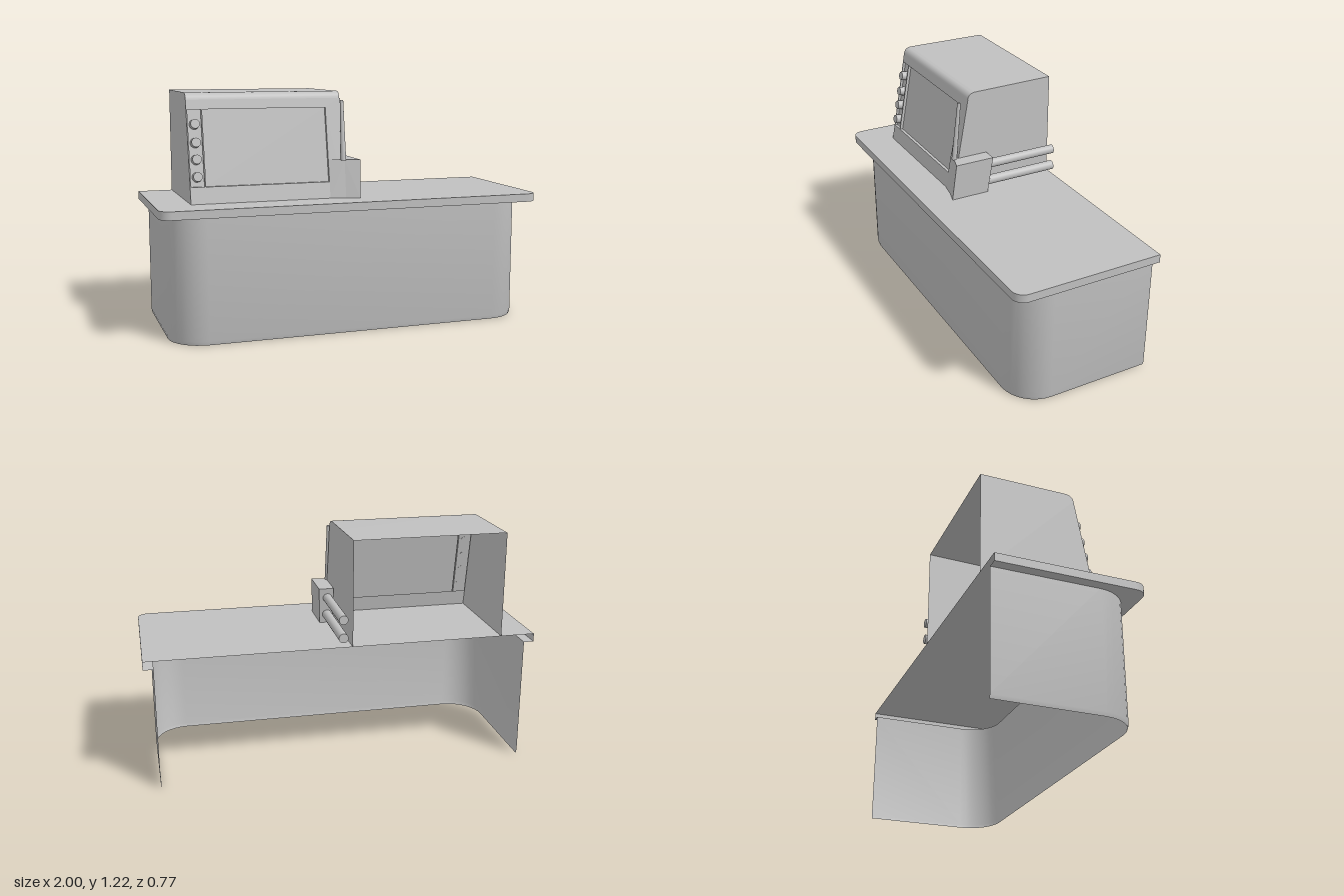
import * as THREE from 'three';
import { toCreasedNormals } from 'three/addons/utils/BufferGeometryUtils.js';
import { ConvexGeometry } from 'three/addons/geometries/ConvexGeometry.js';

const BACK = -0.385;
const V = (x, y, z) => new THREE.Vector3(x, y, z);

// Sheet of quads joining rows of points
function sheet(rows) {
  const n = rows[0].length, pos = [], idx = [];
  rows.forEach(r => r.forEach(p => pos.push(p.x, p.y, p.z)));
  for (let j = 0; j < rows.length - 1; j++) {
    for (let i = 0; i < n - 1; i++) {
      const a = j * n + i, b = a + n;
      idx.push(a, a + 1, b + 1, a, b + 1, b);
    }
  }
  const g = new THREE.BufferGeometry();
  g.setAttribute('position', new THREE.Float32BufferAttribute(pos, 3));
  g.setIndex(idx);
  return toCreasedNormals(g, 0.7);
}

// Outline open at the back with two rounded front corners, as (x, z) pairs
function counterOutline(w, front, r) {
  const half = [];
  for (let i = 0; i <= 8; i++) {
    const a = (i / 8) * Math.PI / 2;
    half.push([w - r + r * Math.cos(a), front - r + r * Math.sin(a)]);
  }
  const right = [[w, BACK], ...half];
  return [...right.map(([x, z]) => [-x, z]), ...right.reverse()];
}
const atHeight = (outline, y) => outline.map(([x, z]) => V(x, y, z));

// Depth of the console's sloping front at height y
const slope = y => 0.2 - 0.185 * (y - 0.675);

export function createModel() {
  const model = new THREE.Group();
  const grey = new THREE.MeshStandardMaterial({ color: 0xc0c0c0, side: THREE.DoubleSide });
  grey.name = 'plain grey';
  const add = (name, geometry, parent = model) => {
    const mesh = new THREE.Mesh(geometry, grey);
    mesh.name = name;
    parent.add(mesh);
    return mesh;
  };

  // Counter: top sheet, edge, underside lip and skirt, open at the back
  const outer = counterOutline(1, 0.385, 0.06);
  const body = counterOutline(0.948, 0.34, 0.18);
  const foot = counterOutline(0.944, 0.335, 0.18);
  const topShape = new THREE.Shape(outer.map(([x, z]) => new THREE.Vector2(x, -z)));
  add('counterTop', new THREE.ShapeGeometry(topShape).rotateX(-Math.PI / 2).translate(0, 0.677, 0));
  add('counterEdge', sheet([atHeight(outer, 0.635), atHeight(outer, 0.677)]));
  add('counterLip', sheet([atHeight(body, 0.635), atHeight(outer, 0.635)]));
  add('counterSkirt', sheet([atHeight(foot, 0), atHeight(body, 0.02), atHeight(body, 0.635)]));

  // Console shell, open at the back
  const console_ = new THREE.Group();
  console_.name = 'console';
  model.add(console_);
  const left = -0.82, base = 0.677, lip = 1.185;
  const rightAt = z => -0.018 - 0.018 * (0.2 - z) / 0.585;
  const roof = new THREE.QuadraticBezierCurve(
    new THREE.Vector2(slope(lip), lip),
    new THREE.Vector2(slope(1.22), 1.22),
    new THREE.Vector2(0.062, 1.22)
  ).getPoints(8);
  roof.push(new THREE.Vector2(BACK, 1.22));
  add('consoleRoof', sheet([
    roof.map(p => V(left, p.y, p.x)),
    roof.map(p => V(rightAt(p.x), p.y, p.x))
  ]), console_);
  const profile = new THREE.Shape([
    new THREE.Vector2(BACK, base), new THREE.Vector2(slope(base), base), ...roof
  ]);
  for (const [name, edge] of [['consoleRightSide', () => left], ['consoleLeftSide', rightAt]]) {
    const g = new THREE.ShapeGeometry(profile);
    const p = g.attributes.position;
    for (let i = 0; i < p.count; i++) {
      const z = p.getX(i);
      p.setXYZ(i, edge(z), p.getY(i), z);
    }
    g.computeVertexNormals();
    add(name, g, console_);
  }

  // Sloping front with openings for the screen and the knob strip
  const rect = (x0, x1, y0, y1) => [[x0, y0], [x1, y0], [x1, y1], [x0, y1]].map(p => new THREE.Vector2(...p));
  const front = new THREE.Shape(rect(left, -0.018, base, lip));
  const recesses = [['screen', -0.74, -0.1, 0.016], ['knobPanel', -0.814, -0.746, 0.014]];
  for (const [name, x0, x1, depth] of recesses) {
    const corners = rect(x0, x1, 0.76, 1.138);
    front.holes.push(new THREE.Path(corners));
    const rim = [...corners, corners[0]].map(p => V(p.x, p.y, slope(p.y)));
    const floor = rim.map(p => V(p.x, p.y, p.z - depth));
    add(name + 'Recess', sheet([floor, rim]), console_);
    add(name, sheet([[floor[0], floor[1]], [floor[3], floor[2]]]), console_);
  }
  const frontGeometry = new THREE.ShapeGeometry(front);
  const fp = frontGeometry.attributes.position;
  for (let i = 0; i < fp.count; i++) fp.setZ(i, slope(fp.getY(i)));
  frontGeometry.computeVertexNormals();
  add('consoleFront', frontGeometry, console_);

  // Knobs
  for (const y of [1.067, 0.977, 0.895, 0.81]) {
    const knob = add('knob', new THREE.CylinderGeometry(0.023, 0.025, 0.035, 20), console_);
    knob.position.set(-0.781, y, slope(y) + 0.003);
    knob.rotation.x = Math.PI / 2 - Math.atan(0.185);
  }

  // Side box with a flange running out across the console front
  add('sideBox', new ConvexGeometry([
    V(-0.02, base, 0.214), V(0.05, base, 0.235), V(0.05, base, 0.028), V(-0.02, base, 0.028),
    V(-0.02, 0.872, 0.19), V(0.058, 0.872, 0.212), V(0.058, 0.872, 0), V(-0.02, 0.872, 0)
  ]));
  add('sideBoxFlange', new ConvexGeometry([
    V(-0.1, base, 0.201), V(-0.02, base, 0.214), V(-0.02, base, 0.199),
    V(-0.1, 0.872, 0.165), V(-0.02, 0.872, 0.19), V(-0.02, 0.872, 0.163)
  ]));

  // Slanted lever standing on the side box
  const lever = add('lever', new THREE.CylinderGeometry(0.009, 0.014, 0.31, 16));
  lever.position.set(-0.025, 1.022, 0.169);
  lever.rotation.x = -Math.atan(0.105);

  // Pipes running from the side box to the back
  for (const [y, r] of [[0.82, 0.0235], [0.725, 0.0245]]) {
    const length = 0.03 - BACK;
    const pipe = add('pipe', new THREE.CylinderGeometry(r, r, length, 24));
    pipe.rotation.x = Math.PI / 2;
    pipe.position.set(0.012, y, BACK + length / 2);
  }
  return model;
}
